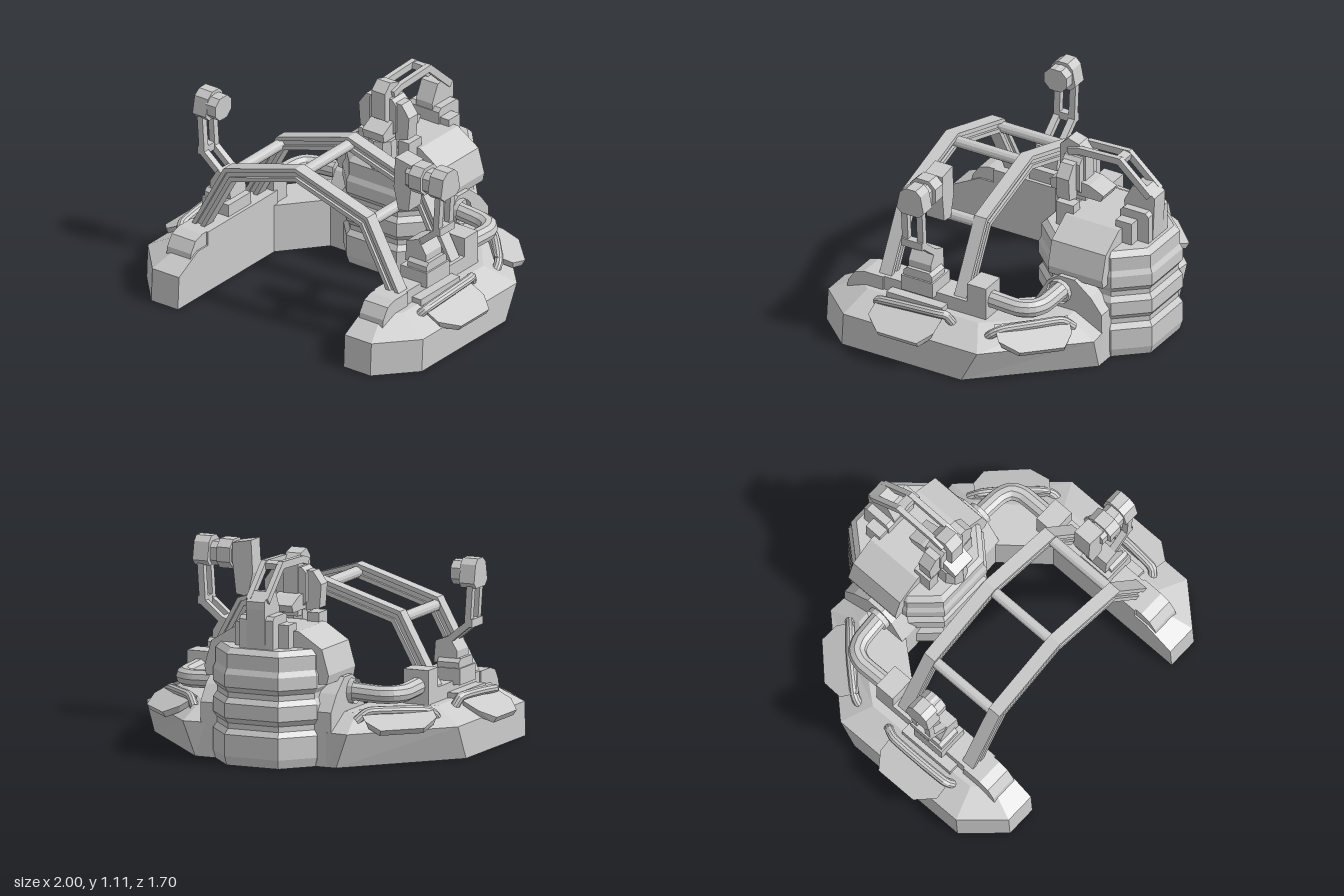
import * as THREE from 'three';

const mat = new THREE.MeshStandardMaterial({ color: 0xcccccc, flatShading: true, side: THREE.DoubleSide });
const V2 = (p) => new THREE.Vector2(p[0], p[1]);
const V3 = (p) => new THREE.Vector3(...p);

// box given by its extents
function box(x0, x1, y0, y1, z0, z1) {
  return new THREE.BoxGeometry(x1 - x0, y1 - y0, z1 - z0)
    .translate((x0 + x1) / 2, (y0 + y1) / 2, (z0 + z1) / 2);
}

// outline in (x, y), extruded from z0 to z1
function prismZ(pts, z0, z1) {
  return new THREE.ExtrudeGeometry(new THREE.Shape(pts.map(V2)), { depth: z1 - z0, bevelEnabled: false })
    .translate(0, 0, z0);
}

// outline in (z, y), extruded from x0 to x1
function prismX(pts, x0, x1) {
  return prismZ(pts.map(([z, y]) => [-z, y]), x0, x1).rotateY(Math.PI / 2);
}

// rectangle with cut corners
function cut(a0, a1, b0, b1, c) {
  return [[a0 + c, b0], [a1 - c, b0], [a1, b0 + c], [a1, b1 - c],
    [a1 - c, b1], [a0 + c, b1], [a0, b1 - c], [a0, b0 + c]];
}

// strip that follows a 2D path between two mitred offsets
function strip(path, d0, d1) {
  const shift = (d) => path.map((p, i) => {
    const normals = [[i - 1, i], [i, i + 1]]
      .filter(([a, b]) => a >= 0 && b < path.length)
      .map(([a, b]) => V2(path[b]).sub(V2(path[a])).normalize())
      .map((t) => new THREE.Vector2(-t.y, t.x));
    const n = normals.reduce((s, v) => s.add(v), new THREE.Vector2()).normalize();
    const k = d / n.dot(normals[normals.length - 1] === n ? n : perp(path, i));
    return [p[0] + n.x * k, p[1] + n.y * k];
  });
  return [...shift(d0), ...shift(d1).reverse()];
}
function perp(path, i) {
  const a = Math.max(i - 1, 0);
  const t = V2(path[a + 1]).sub(V2(path[a])).normalize();
  return new THREE.Vector2(-t.y, t.x);
}

// closed solid from stacked rings of [x, y, z], counter-clockwise from above
function loft(rings) {
  const n = rings[0].length, index = [];
  for (let r = 0; r < rings.length - 1; r++) {
    for (let j = 0; j < n; j++) {
      const a = r * n + j, b = r * n + (j + 1) % n;
      index.push(a, b, b + n, a, b + n, a + n);
    }
  }
  const top = (rings.length - 1) * n;
  const cap = (ring) => THREE.ShapeUtils.triangulateShape(ring.map((p) => new THREE.Vector2(p[0], -p[2])), []);
  for (const [a, b, c] of cap(rings[0])) index.push(c, b, a);
  for (const [a, b, c] of cap(rings[rings.length - 1])) index.push(top + a, top + b, top + c);
  const g = new THREE.BufferGeometry();
  g.setAttribute('position', new THREE.Float32BufferAttribute(rings.flat(2), 3));
  g.setIndex(index);
  return g;
}

function tube(pts, r) {
  return new THREE.TubeGeometry(new THREE.CatmullRomCurve3(pts.map(V3), false, 'catmullrom', 0.25), 28, r, 10);
}
const rod = (a, b, r) => new THREE.TubeGeometry(new THREE.LineCurve3(V3(a), V3(b)), 1, r, 12);

// unshared triangles, optionally reflected across x = 0
function solid(geo, mirror) {
  const g = geo.index ? geo.toNonIndexed() : geo.clone();
  if (mirror) {
    const p = g.attributes.position;
    for (let i = 0; i < p.count; i += 3) {
      const t = [0, 1, 2].map((k) => new THREE.Vector3().fromBufferAttribute(p, i + 2 - k));
      t.forEach((v, k) => p.setXYZ(i + k, -v.x, v.y, v.z));
    }
  }
  g.computeVertexNormals();
  return g;
}

export function createModel() {
  const model = new THREE.Group();
  model.name = 'console';
  const add = (name, geo, mirror = false) => {
    const m = new THREE.Mesh(solid(geo, mirror), mat);
    m.name = name;
    model.add(m);
  };
  const pair = (name, geo) => { add(name + 'Left', geo); add(name + 'Right', geo, true); };

  // U-shaped base with sloped outer shoulders
  const baseRing = (y, outer) => {
    const all = [...outer, ...outer.map(([x, z]) => [-x, z]).reverse(),
      [-0.56, -0.01], [-0.36, -0.25], [0.36, -0.25], [0.56, -0.01]];
    return all.map(([x, z]) => [x, y, z]);
  };
  add('base', loft([
    baseRing(0, [[0.56, 0.85], [0.74, 0.85], [0.93, 0.64], [0.93, -0.11], [0.42, -0.67], [0.36, -0.67]]),
    baseRing(0.19, [[0.56, 0.84], [0.74, 0.84], [0.93, 0.63], [0.93, -0.21], [0.49, -0.68], [0.36, -0.67]]),
    baseRing(0.28, [[0.56, 0.67], [0.68, 0.67], [0.76, 0.58], [0.77, -0.12], [0.46, -0.5], [0.36, -0.5]]),
  ]));

  // ribbed eight-sided drum
  const ring = ([y, s]) => [[0.17, -0.14], [0.31, -0.29], [0.31, -0.68], [0.16, -0.85],
    [-0.16, -0.85], [-0.31, -0.68], [-0.31, -0.29], [-0.17, -0.14]]
    .map(([x, z]) => [x * s, y, -0.495 + (z + 0.495) * s]);
  add('drum', loft([[0, 0.96], [0.05, 1], [0.17, 1], [0.2, 0.94], [0.23, 0.94], [0.26, 1],
    [0.34, 1], [0.37, 0.94], [0.4, 0.94], [0.43, 1], [0.5, 1], [0.53, 0.96], [0.61, 0.96], [0.64, 0.88]].map(ring)));

  // faceted hood over the drum
  const hood = [[0.36, 0.45], [0.37, 0.5], [0.33, 0.64], [0.19, 0.73]];
  add('hood', prismZ([...hood, ...hood.map(([x, y]) => [-x, y]).reverse()], -0.66, -0.32));

  // arched shoulders beside the drum
  pair('shoulder', prismX([[-0.25, 0], [-0.25, 0.28], [-0.33, 0.42], [-0.4, 0.47], [-0.5, 0.47],
    [-0.6, 0.39], [-0.67, 0.3], [-0.67, 0]], 0.28, 0.39));

  // bent pipes with collars and sockets
  pair('pipe', tube([[0.65, 0.38, -0.08], [0.65, 0.37, -0.3], [0.62, 0.37, -0.37],
    [0.55, 0.37, -0.4], [0.36, 0.38, -0.41]], 0.05));
  pair('pipeCollar', rod([0.37, 0.38, -0.41], [0.42, 0.38, -0.41], 0.07));
  pair('pipeSocket', box(0.57, 0.72, 0.28, 0.47, -0.14, -0.02));

  // raised deck rails and wedge feet
  pair('deckRail', box(0.56, 0.72, 0.22, 0.36, -0.04, 0.58));
  pair('foot', prismX([[0.73, 0.22], [0.72, 0.28], [0.68, 0.34], [0.62, 0.36], [0.5, 0.36], [0.5, 0.22]], 0.57, 0.73));
  pair('deckStep', box(0.7, 0.78, 0.24, 0.31, 0.1, 0.45));

  // two arches, each a pair of rails joined by a thin web
  const archPath = [[-0.71, 0.34], [-0.485, 0.752], [0, 0.9], [0.485, 0.752], [0.71, 0.34]];
  for (const [name, z] of [['rearArch', 0.035], ['frontArch', 0.505]]) {
    add(name + 'OuterRail', prismZ(strip(archPath, 0, -0.024), z - 0.038, z + 0.038));
    add(name + 'InnerRail', prismZ(strip(archPath, -0.052, -0.076), z - 0.038, z + 0.038));
    add(name + 'Web', prismZ(strip(archPath, -0.02, -0.056), z - 0.022, z + 0.022));
  }
  for (const [x, y] of [[-0.47, 0.705], [0, 0.85], [0.47, 0.705]]) {
    add('crossTube', rod([x, y, 0.03], [x, y, 0.5], 0.032));
  }

  // side grab handles and flaps
  pair('sideHandle', tube([[0.79, 0.23, 0.5], [0.83, 0.28, 0.46], [0.84, 0.3, 0.28],
    [0.84, 0.31, 0.1], [0.82, 0.3, 0.05], [0.79, 0.23, 0.01]], 0.025));
  const flap = (y, w, e) => [[0.82, 0.48 - e], [0.92, 0.48 - e], [w, 0.38], [w, 0.13], [0.92, 0.07 + e], [0.82, 0.07 + e]]
    .map(([x, z]) => [x, y - (x - 0.84) * 0.5, z]);
  const flapGeo = loft([flap(0.23, 0.98, 0.02), flap(0.27, 1, 0)]);
  pair('sideFlap', flapGeo);
  pair('rearHandle', tube([[0.48, 0.24, -0.55], [0.53, 0.29, -0.5], [0.64, 0.29, -0.4],
    [0.75, 0.28, -0.28], [0.79, 0.26, -0.23], [0.8, 0.2, -0.17]], 0.025));
  pair('rearFlap', flapGeo.clone().translate(-0.86, 0, -0.275).rotateY(Math.PI / 4).translate(0.655, 0.02, -0.395));

  // jointed side arms with slotted double rails
  pair('armBase', box(0.58, 0.76, 0.34, 0.43, 0.17, 0.37));
  pair('armBlock', prismX(cut(0.18, 0.36, 0.36, 0.48, 0.02), 0.62, 0.75));
  pair('armJoint', prismZ([[0.59, 0.45], [0.73, 0.45], [0.73, 0.52], [0.68, 0.6], [0.6, 0.57]], 0.2, 0.34));
  const armPath = [[0.62, 0.53], [0.79, 0.67], [0.81, 0.98]];
  for (const z of [0.2, 0.295]) pair('armRail', prismZ(strip(armPath, -0.018, 0.018), z, z + 0.038));
  pair('armElbow', box(0.775, 0.82, 0.655, 0.7, 0.2, 0.333));
  pair('armHead', prismX([[0.18, 0.9], [0.21, 0.87], [0.32, 0.87], [0.35, 0.9], [0.33, 1], [0.29, 1.03], [0.23, 1.03], [0.2, 1]], 0.75, 0.84));
  add('lampFaceRight', rod([-0.76, 0.945, 0.27], [-0.69, 0.945, 0.27], 0.07));
  add('lampCapRight', prismX(cut(0.2, 0.34, 0.88, 1.01, 0.035), -0.76, -0.69));

  // longer head of the left arm, with a hanging handset
  add('headBarLeft', prismX(cut(0.21, 0.33, 0.87, 1.0, 0.03), 0.58, 0.77));
  add('headCollarLeft', prismX(cut(0.19, 0.35, 0.86, 1.02, 0.04), 0.62, 0.7));
  add('handsetLeft', prismZ([[0.52, 0.72], [0.59, 0.73], [0.61, 0.9], [0.61, 1.01], [0.5, 1.03], [0.49, 0.85]], 0.2, 0.31));

  // central arm over the hood: front post, pod, double rails and rear pod
  add('frontPost', new THREE.CylinderGeometry(0.08, 0.085, 0.18, 10).translate(0, 0.69, -0.24));
  add('frontPod', prismX([[-0.2, 0.9], [-0.2, 1.06], [-0.25, 1.11], [-0.32, 1.09], [-0.36, 1.04], [-0.36, 0.75], [-0.23, 0.75], [-0.23, 0.88]], -0.045, 0.045));
  add('frontPodCasing', prismZ(cut(-0.09, 0.09, 0.8, 1.02, 0.03), -0.35, -0.24));
  add('podFin', prismX([[-0.16, 0.79], [-0.15, 0.84], [-0.24, 0.89], [-0.4, 0.87], [-0.49, 0.83], [-0.47, 0.79]], -0.07, 0.07));
  pair('podWing', prismZ([[0.08, 0.78], [0.16, 0.8], [0.17, 0.93], [0.12, 1.0], [0.08, 1.0]], -0.33, -0.25));
  const reach = [[-0.26, 1.04], [-0.33, 1.06], [-0.58, 1.07], [-0.77, 0.9]];
  for (const x of [-0.065, 0.035]) add('reachRail', prismX(strip(reach, -0.02, 0.02), x, x + 0.03));
  add('reachTie', prismX(strip([[-0.55, 1.07], [-0.6, 1.06]], -0.018, 0.018), -0.04, 0.04));
  add('rearPod', prismX([[-0.62, 0.63], [-0.79, 0.63], [-0.8, 0.86], [-0.8, 0.9], [-0.74, 0.95], [-0.66, 0.94], [-0.61, 0.84]], -0.055, 0.055));
  add('rearPodBase', prismX(cut(-0.79, -0.61, 0.6, 0.82, 0.02), -0.1, 0.1));
  pair('hoodClipFront', box(0.1, 0.17, 0.62, 0.78, -0.36, -0.25));
  pair('hoodClipRear', box(0.09, 0.16, 0.62, 0.77, -0.72, -0.62));
  return model;
}
